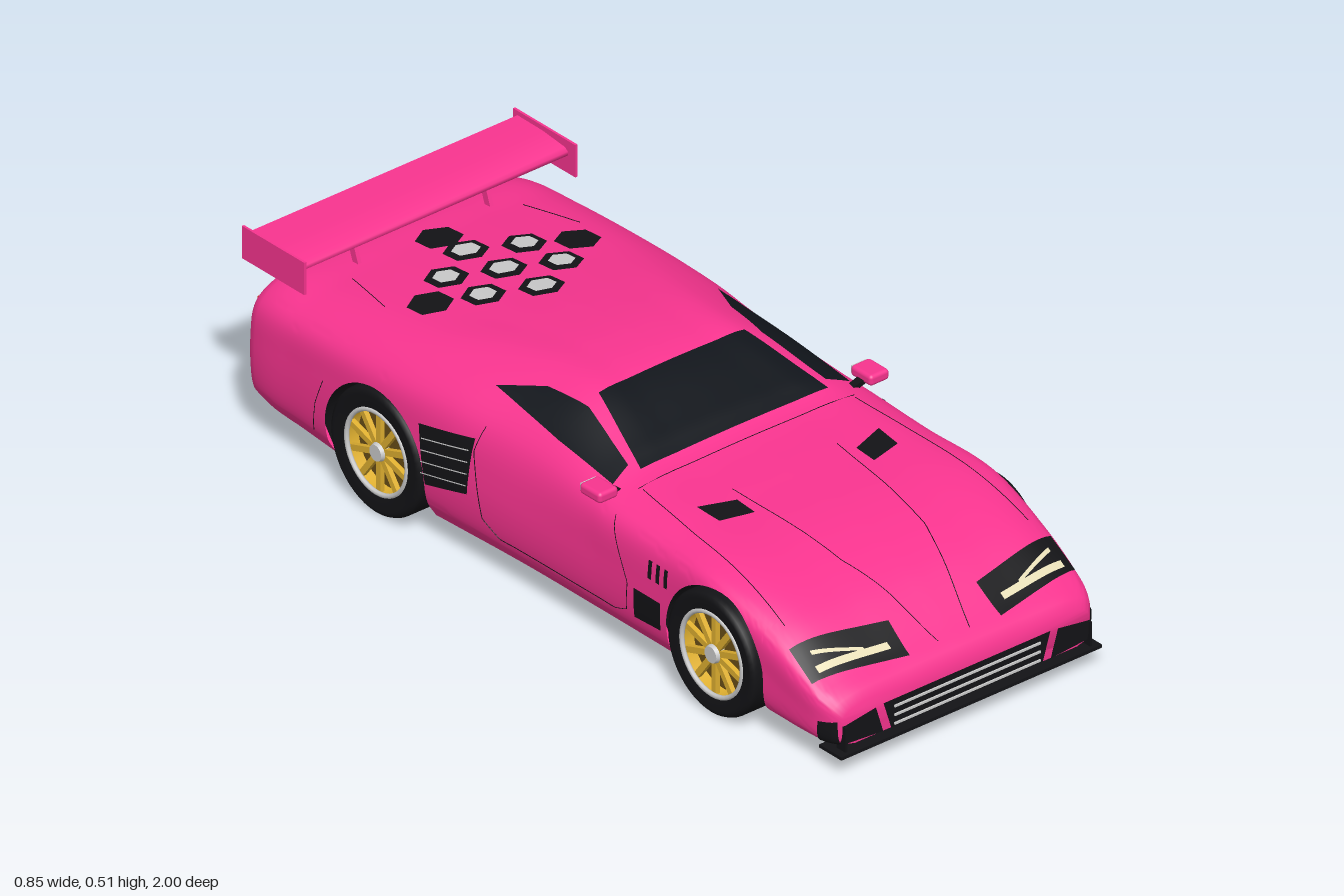
import * as THREE from 'three';
import { toCreasedNormals } from 'three/addons/utils/BufferGeometryUtils.js';
import { RoundedBoxGeometry } from 'three/addons/geometries/RoundedBoxGeometry.js';

const mat = (color) => new THREE.MeshStandardMaterial({ color, side: THREE.DoubleSide });
const PINK = mat(0xf8348f), BLACK = mat(0x131316), GLASS = mat(0x10141a), GOLD = mat(0xe0b030),
  DARKGOLD = mat(0x6a4e16), GREY = mat(0xcccccc), RED = mat(0xe82a14), CREAM = mat(0xe8dfb8);

// Body stations: z, floor y, widest x, its y, shoulder x, y, roof edge x, y, centre y
const KEYS = [
  [0.98, 0.058, 0.355, 0.1, 0.35, 0.135, 0.31, 0.152, 0.158],
  [0.962, 0.055, 0.372, 0.11, 0.367, 0.154, 0.32, 0.172, 0.179],
  [0.92, 0.055, 0.388, 0.12, 0.382, 0.178, 0.33, 0.195, 0.205],
  [0.79, 0.055, 0.398, 0.16, 0.392, 0.246, 0.335, 0.277, 0.291],
  [0.61, 0.06, 0.408, 0.22, 0.398, 0.31, 0.34, 0.333, 0.342],
  [0.4, 0.06, 0.406, 0.22, 0.39, 0.32, 0.33, 0.353, 0.363],
  [0.22, 0.06, 0.405, 0.22, 0.388, 0.33, 0.31, 0.37, 0.38],
  [0.15, 0.06, 0.405, 0.22, 0.38, 0.34, 0.265, 0.397, 0.408],
  [-0.02, 0.06, 0.405, 0.22, 0.37, 0.357, 0.22, 0.455, 0.465],
  [-0.15, 0.06, 0.408, 0.23, 0.373, 0.365, 0.22, 0.464, 0.476],
  [-0.3, 0.06, 0.414, 0.25, 0.388, 0.368, 0.25, 0.452, 0.467],
  [-0.5, 0.06, 0.42, 0.27, 0.402, 0.36, 0.31, 0.422, 0.446],
  [-0.8, 0.08, 0.418, 0.26, 0.403, 0.35, 0.33, 0.396, 0.417],
  [-0.95, 0.09, 0.409, 0.25, 0.393, 0.338, 0.325, 0.383, 0.4],
  [-0.985, 0.105, 0.378, 0.25, 0.362, 0.318, 0.295, 0.35, 0.362],
];
const Z0 = KEYS[0][0], Z1 = KEYS[KEYS.length - 1][0];
const WHEELS = [{ z: 0.605, y: 0.15, r: 0.15, arch: 0.159 }, { z: -0.525, y: 0.155, r: 0.155, arch: 0.165 }];
const WELL_X = 0.24;

// Smooth interpolation of the stations along z
function params(z) {
  let i = 0;
  while (i < KEYS.length - 2 && KEYS[i + 1][0] > z) i++;
  const a = KEYS[i], b = KEYS[i + 1], p = KEYS[Math.max(0, i - 1)], q = KEYS[Math.min(KEYS.length - 1, i + 2)];
  const h = b[0] - a[0], t = THREE.MathUtils.clamp((z - a[0]) / h, 0, 1), t2 = t * t, t3 = t2 * t;
  return a.map((v, k) => {
    const ma = (b[k] - p[k]) / (b[0] - p[0]) * h, mb = (q[k] - v) / (q[0] - a[0]) * h;
    return (2 * t3 - 3 * t2 + 1) * v + (t3 - 2 * t2 + t) * ma + (3 * t2 - 2 * t3) * b[k] + (t3 - t2) * mb;
  });
}

// Half of the outer cross-section, from sill to roof centre
function sectionCurve(z) {
  const [, yb, w, ym, ws, ys, wr, yr, yc] = params(z);
  return new THREE.CatmullRomCurve3([[w - 0.035, yb], [w - 0.008, yb + 0.25 * (ym - yb)], [w, ym], [ws, ys], [wr, yr],
    [wr / 2, yc - 0.2 * (yc - yr)], [0, yc]].map(([x, y]) => new THREE.Vector3(x, y, z)));
}
const cache = new Map();
function section(z) {
  if (!cache.has(z)) cache.set(z, sectionCurve(z).getPoints(60));
  return cache.get(z);
}
function topY(x, z) {
  const s = section(z);
  for (let i = s.length - 1; i > 0; i--)
    if (s[i - 1].x >= x) return THREE.MathUtils.mapLinear(x, s[i].x, s[i - 1].x, s[i].y, s[i - 1].y);
  return params(z)[3];
}
function sideX(y, z) {
  const s = section(z);
  for (let i = 1; i < s.length; i++)
    if (s[i].y >= y) return THREE.MathUtils.mapLinear(y, s[i - 1].y, s[i].y, s[i - 1].x, s[i].x);
  return 0;
}
const onTop = (s, lift = 0.004) => (x, z) =>
  new THREE.Vector3(s * (x + Math.sign(x) * lift * 0.4), topY(Math.abs(x), z) + lift, z);
const onSide = (s, lift = 0.004) => (z, y) => new THREE.Vector3(s * (sideX(y, z) + lift), y, z);
const onPlane = (s, z) => (x, y) => new THREE.Vector3(s * x, y, z);

export function createModel() {
  const car = new THREE.Group();
  car.name = 'sportsCar';
  const add = (name, geo, material, x = 0, y = 0, z = 0, parent = car) => {
    const m = new THREE.Mesh(geo, material);
    m.name = name;
    m.position.set(x, y, z);
    parent.add(m);
    return m;
  };
  const box = (w, h, d) => new THREE.BoxGeometry(w, h, d);
  // Lays flat geometry onto the body
  const drape = (name, geo, material, place) => {
    const p = geo.attributes.position;
    for (let i = 0; i < p.count; i++) p.setXYZ(i, ...place(p.getX(i), p.getY(i)).toArray());
    geo.computeVertexNormals();
    return add(name, geo, material);
  };
  const quad = (name, [a, b, c, d], material, place) => {
    const geo = new THREE.PlaneGeometry(1, 1, 16, 16), p = geo.attributes.position;
    for (let i = 0; i < p.count; i++) {
      const u = p.getX(i) + 0.5, v = p.getY(i) + 0.5;
      const at = (k) => (1 - v) * ((1 - u) * a[k] + u * b[k]) + v * ((1 - u) * d[k] + u * c[k]);
      p.setXY(i, at(0), at(1));
    }
    return drape(name, geo, material, place);
  };
  const seam = (name, pts, place) => {
    const path = [];
    for (let i = 0; i < pts.length - 1; i++)
      for (let k = 0; k < 8; k++) {
        const t = k / 8;
        path.push(place(pts[i][0] * (1 - t) + pts[i + 1][0] * t, pts[i][1] * (1 - t) + pts[i + 1][1] * t));
      }
    path.push(place(...pts[pts.length - 1]));
    add(name, new THREE.TubeGeometry(new THREE.CatmullRomCurve3(path), path.length * 2, 0.001, 4), BLACK);
  };

  // Body shell with wheel wells
  const stations = [];
  for (let i = 0; i <= 120; i++) {
    const z = THREE.MathUtils.lerp(Z0, Z1, i / 120);
    if (!WHEELS.some((w) => Math.abs(z - w.z) < w.arch + 0.002)) stations.push({ z });
  }
  for (const w of WHEELS) {
    stations.push({ z: w.z + w.arch });
    for (let k = 0; k <= 28; k++) {
      const a = Math.PI * k / 28;
      stations.push({ z: w.z + w.arch * Math.cos(a), arch: w.y + w.arch * Math.sin(a) });
    }
    stations.push({ z: w.z - w.arch });
  }
  stations.sort((a, b) => b.z - a.z);
  const N = 48, H = N + 4, RING = 2 * H - 1, verts = [], shell = [], wells = [];
  for (const { z, arch } of stations) {
    const yb = params(z)[1], ya = arch ?? yb, curve = sectionCurve(z);
    let lo = 0, hi = arch ? 1 : 0;
    for (let k = 0; k < 24 && arch; k++) {
      const mid = (lo + hi) / 2;
      if (curve.getPoint(mid).y < arch) lo = mid; else hi = mid;
    }
    const half = [[0, yb], [WELL_X, yb], [WELL_X, ya]];
    for (let k = 0; k <= N; k++) {
      const p = curve.getPoint(Math.max(lo, k / N));
      half.push([p.x, p.y]);
    }
    for (let j = 0; j < RING; j++) {
      const [x, y] = j < H ? half[j] : half[RING - 1 - j];
      verts.push(j < H ? x : -x, y, z);
    }
  }
  for (let i = 0; i < stations.length - 1; i++) {
    const A = stations[i], B = stations[i + 1], step = B.z === A.z;
    for (let j = 0; j < RING - 1; j++) {
      const h = j < H - 1 ? j : RING - 2 - j, a = i * RING + j, d = a + RING;
      const inWell = (h === 1 || h === 2) && (A.arch || B.arch);
      if (inWell || !step) (inWell ? wells : shell).push(a, d, a + 1, a + 1, d, d + 1);
    }
  }
  const last = (stations.length - 1) * RING, c = verts.length / 3;
  verts.push(0, 0.11, Z0, 0, 0.24, Z1);
  for (let j = 0; j < RING - 1; j++) shell.push(c, j, j + 1, c + 1, last + j + 1, last + j);
  for (const [name, index, m] of [['bodyShell', shell, PINK], ['wheelWells', wells, BLACK]]) {
    const g = new THREE.BufferGeometry();
    g.setAttribute('position', new THREE.Float32BufferAttribute(verts, 3));
    g.setIndex(index);
    add(name, toCreasedNormals(g, 0.9), m);
  }

  // Windscreen, engine cover hexagons and cowl seam
  quad('windscreen', [[-0.208, -0.012], [0.208, -0.012], [0.268, 0.2], [-0.268, 0.2]], GLASS, onTop(1));
  seam('cowlSeam', [[-0.31, 0.24], [0.31, 0.24]], onTop(1, 0.001));
  const hex = (r, x, z) => new THREE.CircleGeometry(r, 6, Math.PI / 6).translate(x, z, 0);
  for (const [x, z] of [[0, -0.705], [0.11, -0.64], [-0.11, -0.64], [0, -0.577], [0.11, -0.515], [-0.11, -0.515], [0, -0.45]]) {
    drape('engineVent', hex(0.051, x, z), BLACK, onTop(1, 0.005));
    drape('engineVentCore', hex(0.031, x, z), GREY, onTop(1, 0.008));
  }
  for (const [x, z] of [[0.21, -0.577], [-0.21, -0.577], [0, -0.795]])
    drape('engineVent', hex(0.053, x, z), BLACK, onTop(1, 0.005));

  // Front grille and splitter
  quad('grille', [[-0.218, 0.06], [0.218, 0.06], [0.24, 0.13], [-0.24, 0.13]], BLACK, onPlane(1, 0.984));
  for (const y of [0.068, 0.09, 0.112]) add('grilleBar', box(0.42, 0.005, 0.006), GREY, 0, y, 0.985);
  add('splitter', box(0.75, 0.008, 0.075), BLACK, 0, 0.047, 0.9625);

  for (const s of [1, -1]) {
    // Glass, lamps and bonnet details
    quad('sideWindow', [[0.34, 0.19], [0.283, 0.175], [0.247, 0], [0.335, 0]], GLASS, onTop(s));
    quad('sideWindow', [[0.335, 0], [0.247, 0], [0.262, -0.12], [0.318, -0.23]], GLASS, onTop(s));
    quad('headlight', [[0.375, 0.825], [0.125, 0.867], [0.13, 0.945], [0.377, 0.905]], BLACK, onTop(s));
    quad('lampStrip', [[0.35, 0.885], [0.16, 0.905], [0.16, 0.92], [0.35, 0.9]], CREAM, onTop(s, 0.008));
    quad('lampStrip', [[0.34, 0.855], [0.22, 0.895], [0.22, 0.902], [0.34, 0.864]], CREAM, onTop(s, 0.008));
    quad('bonnetVent', [[0.26, 0.38], [0.17, 0.41], [0.17, 0.47], [0.255, 0.45]], BLACK, onTop(s));
    seam('bonnetSeam', [[0.15, 0.37], [0.135, 0.55], [0.12, 0.7], [0.045, 0.94]], onTop(s, 0.001));
    seam('wingSeam', [[0.305, 0.25], [0.325, 0.45], [0.35, 0.78]], onTop(s, 0.001));
    seam('deckSeam', [[0.245, -0.8], [0.28, -0.65]], onTop(s, 0.001));
    quad('bumperDuct', [[0.241, 0.06], [0.346, 0.068], [0.357, 0.114], [0.262, 0.128]], BLACK, onPlane(s, 0.984));
    quad('bumperSideDuct', [[0.975, 0.062], [0.93, 0.06], [0.935, 0.12], [0.975, 0.125]], BLACK, onSide(s));
    add('bumperBlade', box(0.006, 0.065, 0.03), BLACK, s * 0.352, 0.08, 0.975);

    // Doors and side vents
    seam('doorSeam', [[0.25, 0.335], [0.315, 0.2], [0.31, 0.13], [0.27, 0.115], [-0.12, 0.115], [-0.17, 0.145],
      [-0.205, 0.3], [-0.19, 0.36]], onSide(s, 0.001));
    seam('archSeam', [[-0.695, 0.265], [-0.72, 0.2], [-0.735, 0.12]], onSide(s, 0.001));
    quad('sideIntake', [[-0.205, 0.33], [-0.375, 0.3], [-0.352, 0.155], [-0.215, 0.19]], BLACK, onSide(s));
    for (let k = 1; k < 5; k++)
      quad('intakeSlat', [[-0.215, 0.33 - k * 0.029], [-0.362, 0.3 - k * 0.029], [-0.362, 0.297 - k * 0.029],
        [-0.215, 0.327 - k * 0.029]], GREY, onSide(s, 0.007));
    quad('brakeDuct', [[0.43, 0.2], [0.34, 0.2], [0.34, 0.125], [0.43, 0.13]], BLACK, onSide(s));
    for (const z of [0.452, 0.425, 0.398])
      quad('wingSlot', [[z, 0.29], [z - 0.012, 0.29], [z - 0.012, 0.245], [z, 0.245]], BLACK, onSide(s));

    // Door mirror
    add('mirror', new RoundedBoxGeometry(0.056, 0.027, 0.07, 3, 0.009), PINK, s * 0.39, 0.378, 0.2);
    add('mirrorGlass', box(0.044, 0.018, 0.003), GREY, s * 0.39, 0.378, 0.164);
    add('mirrorArm', box(0.05, 0.012, 0.02), BLACK, s * 0.36, 0.366, 0.2).rotation.z = s * 0.3;

    // Tail lamps, wing strut and end plate
    add('tailLamp', box(0.18, 0.01, 0.008), RED, s * 0.265, 0.307, -0.989).rotation.z = s * 0.1;
    add('tailLamp', box(0.14, 0.01, 0.008), RED, s * 0.255, 0.297, -0.991).rotation.z = s * -0.2;
    add('wingStrut', box(0.01, 0.09, 0.018), PINK, s * 0.19, 0.437, -0.86).rotation.x = -0.35;
    add('wingEndPlate', box(0.006, 0.082, 0.21), PINK, s * 0.39, 0.47, -0.895);
  }

  // Rear wing blade
  const foil = new THREE.Shape([[0.815, 0.474], [0.83, 0.468], [0.985, 0.488], [0.985, 0.5], [0.9, 0.499], [0.825, 0.491],
    [0.815, 0.484]].map(([x, y]) => new THREE.Vector2(x, y)));
  const blade = new THREE.ExtrudeGeometry(foil, { depth: 0.78, bevelEnabled: false }).rotateY(Math.PI / 2);
  add('rearWing', toCreasedNormals(blade, 1.3), PINK, -0.39);

  // Exhaust cluster and diffuser
  add('exhaustPanel', new THREE.CylinderGeometry(0.075, 0.075, 0.012, 6).rotateY(Math.PI / 6).rotateX(Math.PI / 2), BLACK, 0, 0.23, -0.985);
  for (const x of [-0.027, 0.027]) for (const y of [0.203, 0.257]) {
    add('exhaustPipe', new THREE.CylinderGeometry(0.021, 0.021, 0.026, 20, 1, true).rotateX(Math.PI / 2), GREY, x, y, -0.984);
    add('exhaustRing', new THREE.TorusGeometry(0.019, 0.004, 8, 20), GREY, x, y, -0.995);
  }
  quad('diffuserPanel', [[-0.34, 0.1], [0.34, 0.1], [0.22, 0.168], [-0.22, 0.168]], BLACK, onPlane(1, -0.989));
  add('diffuserFloor', box(0.68, 0.03, 0.1), BLACK, 0, 0.11, -0.938);
  const fin = new THREE.Shape([[0.87, 0.1], [0.985, 0.075], [0.995, 0.08], [0.995, 0.145], [0.95, 0.145]]
    .map(([x, y]) => new THREE.Vector2(x, y)));
  const finGeo = new THREE.ExtrudeGeometry(fin, { depth: 0.008, bevelEnabled: false }).rotateY(Math.PI / 2);
  for (let k = 0; k < 10; k++) add('diffuserFin', finGeo, BLACK, -0.339 + k * 0.67 / 9, 0, 0);

  // Wheels
  for (const w of WHEELS) for (const s of [1, -1]) {
    const wheel = new THREE.Group();
    wheel.name = w.z > 0 ? 'frontWheel' : 'rearWheel';
    wheel.position.set(s * 0.352, w.r, w.z);
    wheel.rotation.z = -s * Math.PI / 2;
    car.add(wheel);
    const put = (name, geo, m, x = 0, y = 0, z = 0) => add(name, geo, m, x, y, z, wheel);
    const R = w.r, profile = [[0.106, -0.06], [R - 0.015, -0.068], [R - 0.004, -0.063], [R, -0.05], [R, 0.05],
      [R - 0.004, 0.06], [R - 0.015, 0.066], [0.106, 0.06]].map(([x, y]) => new THREE.Vector2(x, y));
    put('tyre', new THREE.LatheGeometry(profile, 48), BLACK);
    put('rimBarrel', new THREE.CylinderGeometry(0.106, 0.106, 0.12, 40, 1, true), GOLD);
    put('rimLip', new THREE.TorusGeometry(0.102, 0.006, 8, 40).rotateX(Math.PI / 2), GREY, 0, 0.058);
    put('brakeDisc', new THREE.CylinderGeometry(0.1, 0.1, 0.01, 32), DARKGOLD, 0, 0.02);
    put('hub', new THREE.CylinderGeometry(0.02, 0.027, 0.022, 20), GREY, 0, 0.052);
    for (let k = 0; k < 10; k++)
      put('spoke', box(0.082, 0.012, 0.015).translate(0.06, 0, 0), GOLD, 0, 0.048).rotation.y = k * Math.PI / 5;
  }
  return car;
}
